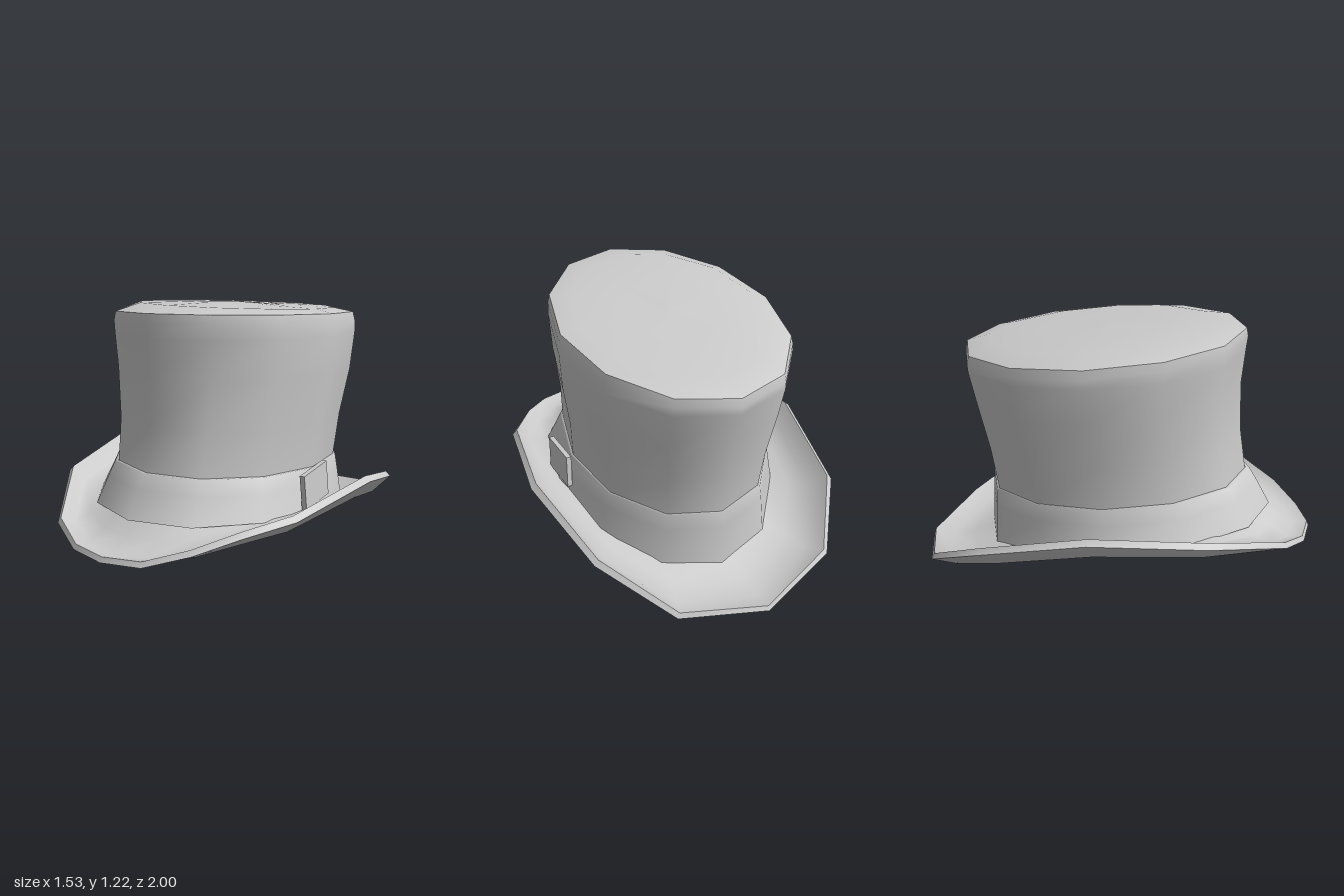
import * as THREE from 'three';

const V = (x, y, z) => new THREE.Vector3(x, y, z);
const SIDES = 12;

// Skins a list of closed rings (each a list of points), smooth within the strip.
function loft(name, rings, material) {
  const n = rings[0].length;
  const index = [];
  for (let i = 0; i < rings.length - 1; i++) {
    for (let j = 0; j < n; j++) {
      const a = i * n + j, b = i * n + (j + 1) % n;
      index.push(a, b, b + n, a, b + n, a + n);
    }
  }
  const geometry = new THREE.BufferGeometry().setFromPoints(rings.flat());
  geometry.setIndex(index);
  geometry.computeVertexNormals();
  const mesh = new THREE.Mesh(geometry, material);
  mesh.name = name;
  return mesh;
}

// Egg ring: half width, front and back depth, height at front and back, sideways tilt.
function ring(w, zf, zb, yf, yb, tilt = 0) {
  return Array.from({ length: SIDES }, (_, j) => {
    const a = (j / SIDES) * Math.PI * 2;
    const t = (1 + Math.cos(a)) / 2;
    const x = w * Math.sin(a);
    return V(x + 0.008, yb + (yf - yb) * t + tilt * x, zb + (zf - zb) * t);
  });
}

// Height of the underside where the brim meets the head opening.
const seatHeight = (z) => 0.22 + (z > 0 ? 0.05 : 0.27) * z;

// Outer edge of the brim: x, z, height; from the front round by the left side.
const EDGE = [
  [0.03, 1, 0.16], [0.22, 0.95, 0.165], [0.4, 0.83, 0.22], [0.55, 0.66, 0.28], [0.69, 0.45, 0.32],
  [0.765, -0.1, 0.37], [0.64, -0.6, 0.24], [0.36, -0.9, 0.055], [-0.07, -1, 0.005], [-0.48, -0.86, 0.08],
  [-0.7, -0.55, 0.25], [-0.765, -0.02, 0.375], [-0.63, 0.52, 0.33], [-0.35, 0.88, 0.22], [-0.16, 0.97, 0.165],
];

function createBrim(material) {
  const brim = new THREE.Group();
  brim.name = 'brim';
  const edge = EDGE.map(([x, z, y]) => V(x, y, z));
  // Rolled lip: wide at the sides, thin at front and back
  const lip = edge.map((p) => V(p.x * 0.965, p.y + 0.025, p.z * 0.99));
  // Head opening follows the direction of each edge point.
  const around = (w, zf, zb, rise) => edge.map((p) => {
    const a = Math.atan2(p.x / 0.76, p.z);
    const z = (zf + zb) / 2 + ((zf - zb) / 2) * Math.cos(a);
    return V(w * Math.sin(a), seatHeight(z) + rise, z);
  });
  const inner = around(0.515, 0.71, -0.65, 0);
  const seat = around(0.53, 0.73, -0.66, 0.035);
  // A sag between opening and edge gives the curl.
  const between = (from, to, t, sag) => from.map((p, i) => {
    const q = p.clone().lerp(to[i], t);
    q.y = Math.max(q.y - sag, 0.01);
    return q;
  });
  brim.add(
    // Lining and underside in one smooth sweep
    loft('brimUnderside', [
      around(0.475, 0.63, -0.63, 0.2),
      around(0.49, 0.66, -0.635, 0.08),
      inner,
      between(inner, edge, 0.35, 0.03),
      between(inner, edge, 0.7, 0.045),
      edge,
    ], material),
    loft('brimLip', [edge, lip], material),
    loft('brimTop', [
      lip,
      between(lip, seat, 0.3, 0.045),
      between(lip, seat, 0.65, 0.03),
      seat,
    ], material),
  );
  return brim;
}

function createBuckle(material) {
  const buckle = new THREE.Group();
  buckle.name = 'buckle';
  const plate = new THREE.Mesh(new THREE.BoxGeometry(0.025, 0.17, 0.23), material);
  plate.name = 'bucklePlate';
  const strap = new THREE.Mesh(new THREE.BoxGeometry(0.02, 0.14, 0.1), material);
  strap.name = 'buckleStrap';
  strap.position.set(-0.015, -0.01, -0.02);
  strap.rotation.y = 0.12;
  buckle.add(plate, strap);
  buckle.position.set(0.553, 0.358, 0.065);
  buckle.rotation.set(0.08, 0.05, 0.05);
  return buckle;
}

export function createModel() {
  const material = new THREE.MeshStandardMaterial({ color: 0xcccccc, side: THREE.DoubleSide });
  const hat = new THREE.Group();
  hat.name = 'topHat';

  hat.add(createBrim(material));

  // Flared band round the foot of the crown
  const bandFoot = ring(0.57, 0.79, -0.68, 0, 0)
    .map((p) => V(p.x, seatHeight(p.z) + 0.025, p.z));
  hat.add(loft('band', [
    bandFoot,
    ring(0.53, 0.72, -0.67, 0.41, 0.29),
    ring(0.508, 0.68, -0.665, 0.475, 0.375),
    ring(0.495, 0.66, -0.65, 0.475, 0.375),
  ], material));

  // Crown, leaning back and widening towards the top
  const rim = ring(0.54, 0.63, -0.77, 1.2, 1.08, 0.045);
  hat.add(loft('crown', [
    ring(0.495, 0.66, -0.65, 0.46, 0.36),
    ring(0.51, 0.625, -0.685, 0.68, 0.59),
    ring(0.545, 0.615, -0.735, 0.92, 0.82),
    ring(0.555, 0.63, -0.775, 1.09, 1.0, 0.03),
    ring(0.55, 0.638, -0.78, 1.16, 1.04, 0.045),
    rim,
  ], material));

  // Slightly domed lid
  hat.add(loft('lid', [
    rim,
    ring(0.45, 0.49, -0.64, 1.222, 1.12, 0.02),
    ring(0.22, 0.2, -0.35, 1.205, 1.15),
    ring(0, -0.07, -0.07, 1.185, 1.185),
  ], material));

  hat.add(createBuckle(material));
  return hat;
}
